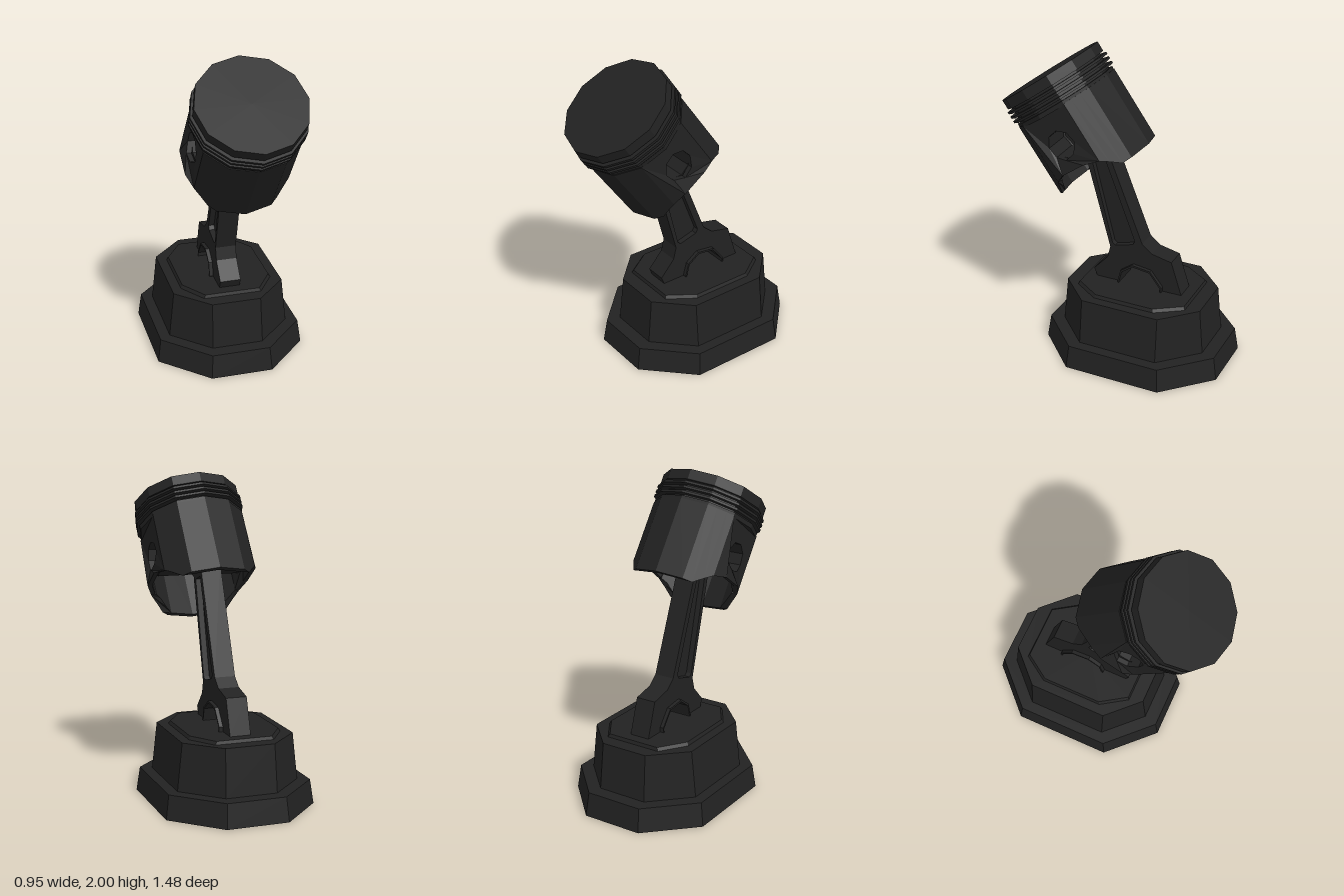
import * as THREE from 'three';

const material = new THREE.MeshStandardMaterial({ color: 0x222222, flatShading: true, side: THREE.DoubleSide });

function part(name, geometry, parent) {
  const mesh = new THREE.Mesh(geometry, material);
  mesh.name = name;
  parent.add(mesh);
  return mesh;
}

const toPoints = (list) => list.map(([a, b]) => new THREE.Vector2(a, b));
const ring = (cx, cy, r, n, from = 0, sweep = Math.PI * 2) =>
  Array.from({ length: n }, (_, i) => {
    const t = from + (sweep * i) / (sweep < 6.28 ? n - 1 : n);
    return [cx + r * Math.cos(t), cy + r * Math.sin(t)];
  });

// Extrudes a (z, y) outline across x, centred on x = 0
function sideExtrude(outline, width, holes = []) {
  const shape = new THREE.Shape(toPoints(outline));
  for (const h of holes) shape.holes.push(new THREE.Path(toPoints(h)));
  return new THREE.ExtrudeGeometry(shape, { depth: width, bevelEnabled: false })
    .translate(0, 0, -width / 2)
    .rotateY(-Math.PI / 2);
}

// Shell lofted through eight-sided sections: [y, half x, half z, corner cut x, corner cut z]
function loftOctagons(layers) {
  const pos = [], index = [];
  layers.forEach(([y, hx, hz, cx, cz], k) => {
    const x = hx - cx, z = hz - cz;
    const loop = [[hx, z], [x, hz], [-x, hz], [-hx, z], [-hx, -z], [-x, -hz], [x, -hz], [hx, -z]];
    loop.forEach(([px, pz]) => pos.push(px, y, pz));
    if (k === 0) return;
    for (let i = 0; i < 8; i++) {
      const j = (i + 1) % 8, lo = (k - 1) * 8, hi = k * 8;
      index.push(lo + i, hi + i, lo + j, lo + j, hi + i, hi + j);
    }
  });
  const g = new THREE.BufferGeometry();
  g.setAttribute('position', new THREE.Float32BufferAttribute(pos, 3));
  g.setIndex(index);
  g.computeVertexNormals();
  return g;
}

function moveVertices(geometry, rule) {
  const p = geometry.attributes.position, v = new THREE.Vector3();
  for (let i = 0; i < p.count; i++) {
    rule(v.fromBufferAttribute(p, i));
    p.setXYZ(i, v.x, v.y, v.z);
  }
  geometry.computeVertexNormals();
  return geometry;
}

// Stepped pedestal, open underneath
function buildBase(parent) {
  part('base', loftOctagons([
    [0, 0.475, 0.595, 0.28, 0.28],
    [0.15, 0.455, 0.572, 0.27, 0.27],
    [0.15, 0.387, 0.485, 0.225, 0.225],
    [0.445, 0.355, 0.457, 0.2, 0.2],
    [0.445, 0.295, 0.368, 0.11, 0.165],
    [0.465, 0.285, 0.36, 0.11, 0.165],
    [0.465, 0, 0, 0, 0],
  ]), parent).position.z = -0.147;
}

// Connecting rod with recessed shank, small end and half of the big end
function buildRod(parent) {
  const rod = new THREE.Group();
  rod.name = 'connectingRod';
  parent.add(rod);
  const pin = [0.235, 1.48];
  const bore = [[-0.305, 0.41], [-0.305, 0.49], [-0.23, 0.585], [-0.115, 0.6], [-0.04, 0.546], [-0.02, 0.47], [-0.02, 0.41]];
  const grown = bore.map(([z, y]) => [-0.163 + (z + 0.163) * 1.07, 0.41 + (y - 0.41) * 1.07]);
  const outline = [
    ...ring(...pin, 0.138, 10, -1.64, 4.99),
    [-0.17, 0.77], [-0.235, 0.715], [-0.37, 0.685], [-0.44, 0.467], [-0.455, 0.41],
    ...grown,
    [0.13, 0.41], [0.145, 0.467], [0.165, 0.515], [0.07, 0.62], [0.05, 0.7],
  ];
  const pocket = [[0.185, 1.33], [0.035, 0.735], [0.015, 0.717], [-0.105, 0.75], [-0.12, 0.775], [0.105, 1.36]];
  part('rodBody', sideExtrude(outline, 0.132, [ring(...pin, 0.092, 8), pocket]), rod);
  part('rodWeb', sideExtrude(pocket, 0.06), rod);
  part('bigEndBearing', sideExtrude([...bore, ...grown.slice().reverse()], 0.18), rod);
}

// Piston, built upright with its crown at y = 0 and then tilted
function buildPiston(parent) {
  const piston = new THREE.Group();
  piston.name = 'piston';
  piston.position.set(0.04, 1.805, 0.465);
  piston.rotation.x = 0.616;
  parent.add(piston);

  // Crown with three rings standing out of their grooves
  const profile = [[0, -0.2], [0.335, -0.2], [0.338, -0.172], [0.315, -0.172]];
  for (const y of [-0.158, -0.126, -0.094])
    profile.push([0.315, y], [0.352, y], [0.352, y + 0.015], [0.315, y + 0.015]);
  profile.push([0.315, -0.065], [0.34, -0.065], [0.34, 0], [0, 0]);
  part('crown', new THREE.LatheGeometry(toPoints(profile), 12), piston);

  // Skirt: curved thrust faces in front and behind, cut away towards the pin sides
  const half = [[0.295, 0.17], [0.259, 0.206], [0.215, 0.25], [0.17, 0.295]];
  const outer = [...half, [0, 0.338], ...half.map(([x, u]) => [-x, u]).reverse()];
  const inner = outer.map(([x, u]) => [x * 0.9, u * 0.9]).reverse();
  const lowerEdge = (u) =>
    u < 0.206 ? 0.585 + Math.max(0, u - 0.17) : Math.min(0.67, 0.621 + (u - 0.206) * 1.15);
  const thrust = new THREE.ExtrudeGeometry(new THREE.Shape(toPoints([...outer, ...inner])), { depth: 0.48, bevelEnabled: false })
    .rotateX(Math.PI / 2)
    .translate(0, -0.19, 0);
  moveVertices(thrust, (v) => { if (v.y < -0.4) v.y = -lowerEdge(v.z); });

  // Flat pin sides, flared outwards below the pin hole
  const pinHole = ring(0, -0.398, 0.092, 8, 0.2);
  const cheek = sideExtrude(
    [[-0.17, -0.19], [-0.17, -0.585], [-0.085, -0.558], [0.085, -0.558], [0.17, -0.585], [0.17, -0.19]],
    0.03, [pinHole]).translate(0.28, 0, 0);
  moveVertices(cheek, (v) => {
    if (Math.abs(v.z) < 0.1) v.x += 0.04 * THREE.MathUtils.clamp((-0.44 - v.y) / 0.1, 0, 1);
  });
  const boss = sideExtrude(ring(0, -0.398, 0.13, 8, 0.2), 0.17, [pinHole]).translate(0.19, 0, 0);

  for (const turn of [0, Math.PI]) {
    part('skirtFace', thrust, piston).rotation.y = turn;
    part('skirtSide', cheek, piston).rotation.y = turn;
    part('pinBoss', boss, piston).rotation.y = turn;
  }
}

export function createModel() {
  const model = new THREE.Group();
  model.name = 'pistonTrophy';
  buildBase(model);
  buildRod(model);
  buildPiston(model);
  return model;
}
